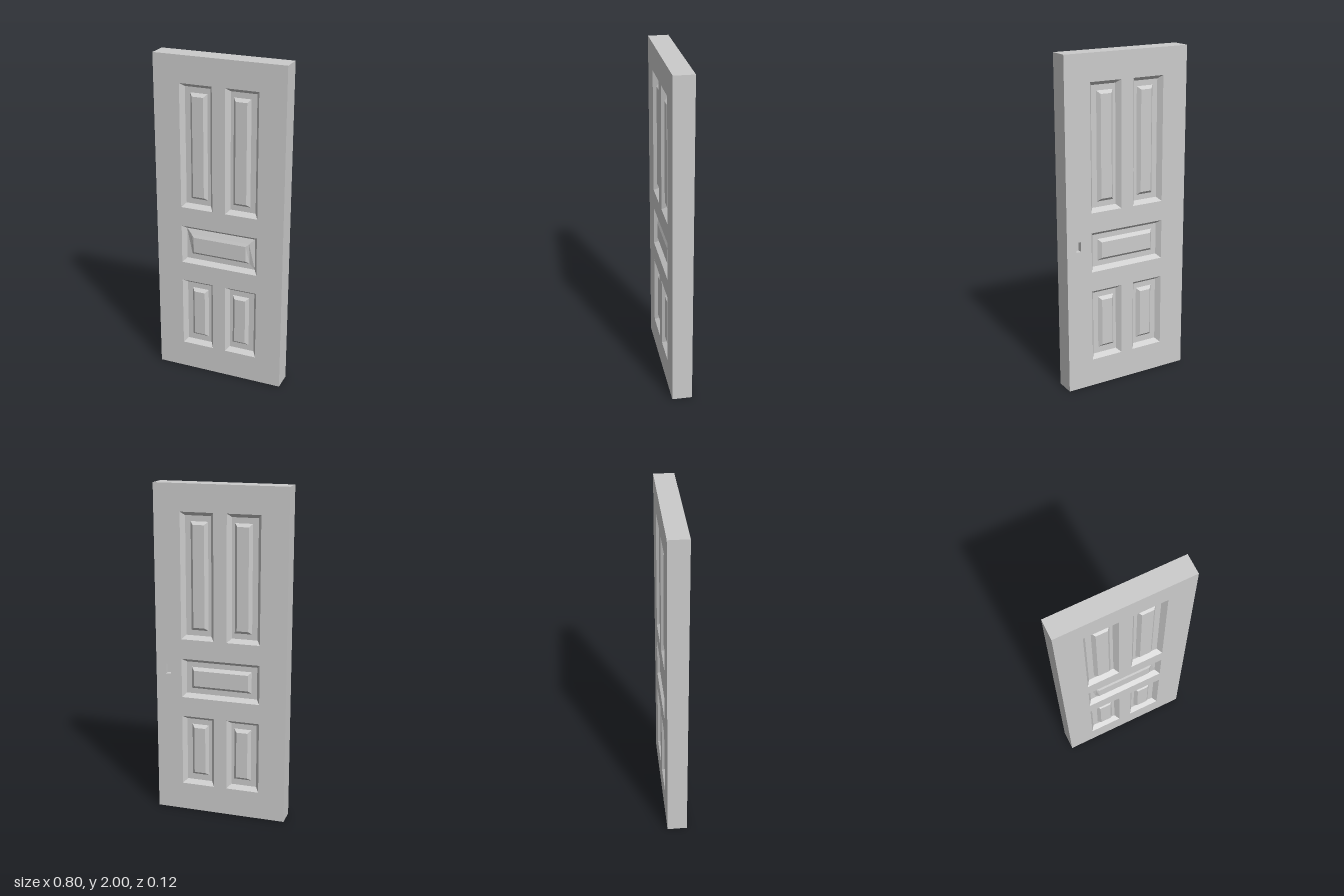
import * as THREE from 'three';

const W = 0.4, H = 2, T = 0.06; // half width, height, half thickness
const material = new THREE.MeshStandardMaterial({ color: 0xcccccc, flatShading: true });

// Rectangle corners, counter-clockwise from bottom left; zTop tilts the upper edge
const ring = ([x0, x1, y0, y1], z, inset = 0, zTop = z) => [
  [x0 + inset, y0 + inset, z], [x1 - inset, y0 + inset, z],
  [x1 - inset, y1 - inset, zTop], [x0 + inset, y1 - inset, zTop],
];

// Join successive rectangles with quads, optionally closing the last one
function loft(name, rings, cap = true) {
  const pos = [];
  const quad = (a, b, c, d) => pos.push(...a, ...b, ...c, ...a, ...c, ...d);
  for (let r = 0; r + 1 < rings.length; r++) {
    const a = rings[r], b = rings[r + 1];
    for (let i = 0; i < 4; i++) {
      const j = (i + 1) % 4;
      quad(a[i], a[j], b[j], b[i]);
    }
  }
  if (cap) quad(...rings[rings.length - 1]);
  const geometry = new THREE.BufferGeometry();
  geometry.setAttribute('position', new THREE.Float32BufferAttribute(pos, 3));
  geometry.computeVertexNormals();
  const mesh = new THREE.Mesh(geometry, material);
  mesh.name = name;
  return mesh;
}

// Panels: outer recess and raised centre, each [x0, x1, y0, y1]
const mirror = ([x0, x1, y0, y1]) => [-x1, -x0, y0, y1];
const upper = { name: 'upperPanel', outer: [0.04, 0.24, 1.09, 1.84], inner: [0.08, 0.185, 1.145, 1.785] };
const lower = { name: 'lowerPanel', outer: [0.04, 0.24, 0.17, 0.61], inner: [0.08, 0.185, 0.23, 0.555] };
const middle = { name: 'middlePanel', outer: [-0.24, 0.24, 0.73, 0.97], inner: [-0.185, 0.185, 0.785, 0.917] };
const panels = [middle];
for (const p of [upper, lower]) {
  panels.push({ ...p, name: p.name + 'Left' });
  panels.push({ name: p.name + 'Right', outer: mirror(p.outer), inner: mirror(p.inner) });
}
const latch = [-0.339, -0.309, 0.87, 0.93];

const outline = (r, Type) => new Type(ring(r, 0).map(([x, y]) => new THREE.Vector2(x, y)));

// One face of the door: flat surround, recessed panels and optional latch slot
function doorFace(name, isBack) {
  const face = new THREE.Group();
  face.name = name;
  const shape = outline([-W, W, 0, H], THREE.Shape);
  for (const p of panels) shape.holes.push(outline(p.outer, THREE.Path));
  if (isBack) shape.holes.push(outline(latch, THREE.Path));
  const surround = new THREE.Mesh(new THREE.ShapeGeometry(shape), material);
  surround.name = 'surround';
  surround.position.z = T;
  face.add(surround);

  for (const p of panels) {
    // the front middle panel has a long slope above its centre
    const footTop = p === middle && !isBack ? T - 0.018 : T - 0.03;
    face.add(loft(p.name, [
      ring(p.outer, T),
      ring(p.outer, T - 0.03, 0.022),
      ring(p.inner, T - 0.03, 0, footTop),
      ring(p.inner, T - 0.01, 0.018),
    ]));
  }
  if (isBack) face.add(loft('latchSlot', [ring(latch, T), ring(latch, T - 0.03)]));
  return face;
}

export function createModel() {
  const door = new THREE.Group();
  door.name = 'door';
  const slab = [-W, W, 0, H];
  door.add(loft('doorEdges', [ring(slab, -T), ring(slab, T)], false));
  door.add(doorFace('frontFace', false));
  const back = doorFace('backFace', true);
  back.rotation.y = Math.PI;
  door.add(back);
  return door;
}
